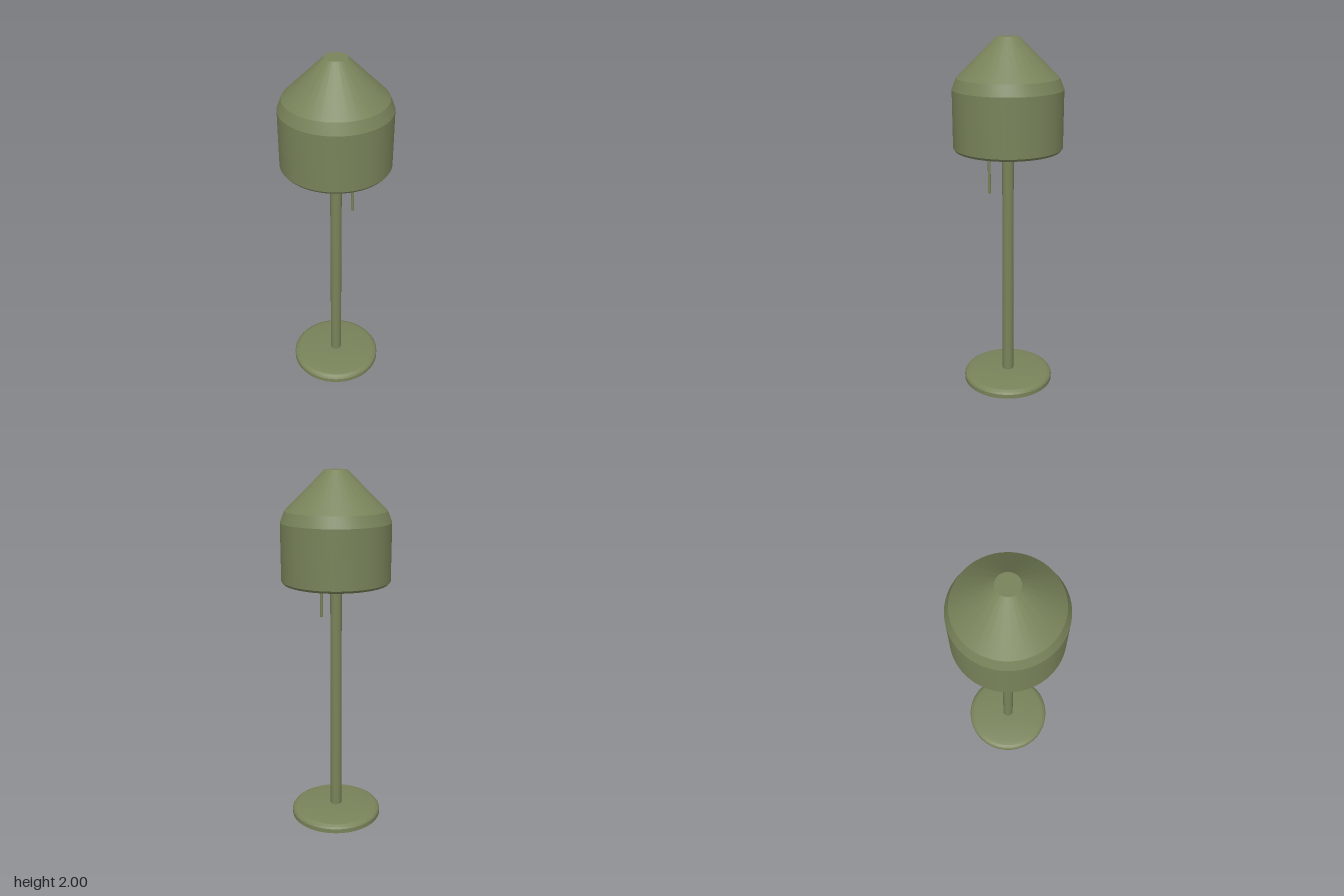
import * as THREE from 'three';
import { toCreasedNormals } from 'three/addons/utils/BufferGeometryUtils.js';

const olive = new THREE.MeshStandardMaterial({ color: 0x78835a });
olive.name = 'olive';

// Turned part from a [radius, height] profile, bottom to top, with crisp edges
function turned(name, profile, segments = 64) {
  const points = profile.map(([r, y]) => new THREE.Vector2(r, y));
  const geometry = toCreasedNormals(new THREE.LatheGeometry(points, segments), 0.3);
  const mesh = new THREE.Mesh(geometry, olive);
  mesh.name = name;
  return mesh;
}

function rod(name, radius, bottom, top, z, segments) {
  const geometry = new THREE.CylinderGeometry(radius, radius, top - bottom, segments);
  const mesh = new THREE.Mesh(geometry, olive);
  mesh.name = name;
  mesh.position.set(0, (bottom + top) / 2, z);
  return mesh;
}

export function createModel() {
  const lamp = new THREE.Group();
  lamp.name = 'tableLamp';

  // Round foot with a softened, slightly domed top
  lamp.add(turned('base', [
    [0, 0], [0.26, 0], [0.26, 0.025], [0.253, 0.035], [0.238, 0.044],
    [0.21, 0.05], [0.06, 0.055], [0, 0.055],
  ]));

  // Upright pole
  lamp.add(rod('pole', 0.032, 0.04, 1.42, 0, 32));

  // Shade: closed underside, straight wall, bevelled shoulder, cone and flat cap
  lamp.add(turned('shade', [
    [0, 1.405], [0.288, 1.405], [0.298, 1.418], [0.298, 1.73],
    [0.274, 1.79], [0.06, 2], [0, 2],
  ]));

  // Pull switch hanging at the front
  lamp.add(rod('pullCord', 0.008, 1.18, 1.41, 0.135, 16));

  return lamp;
}
